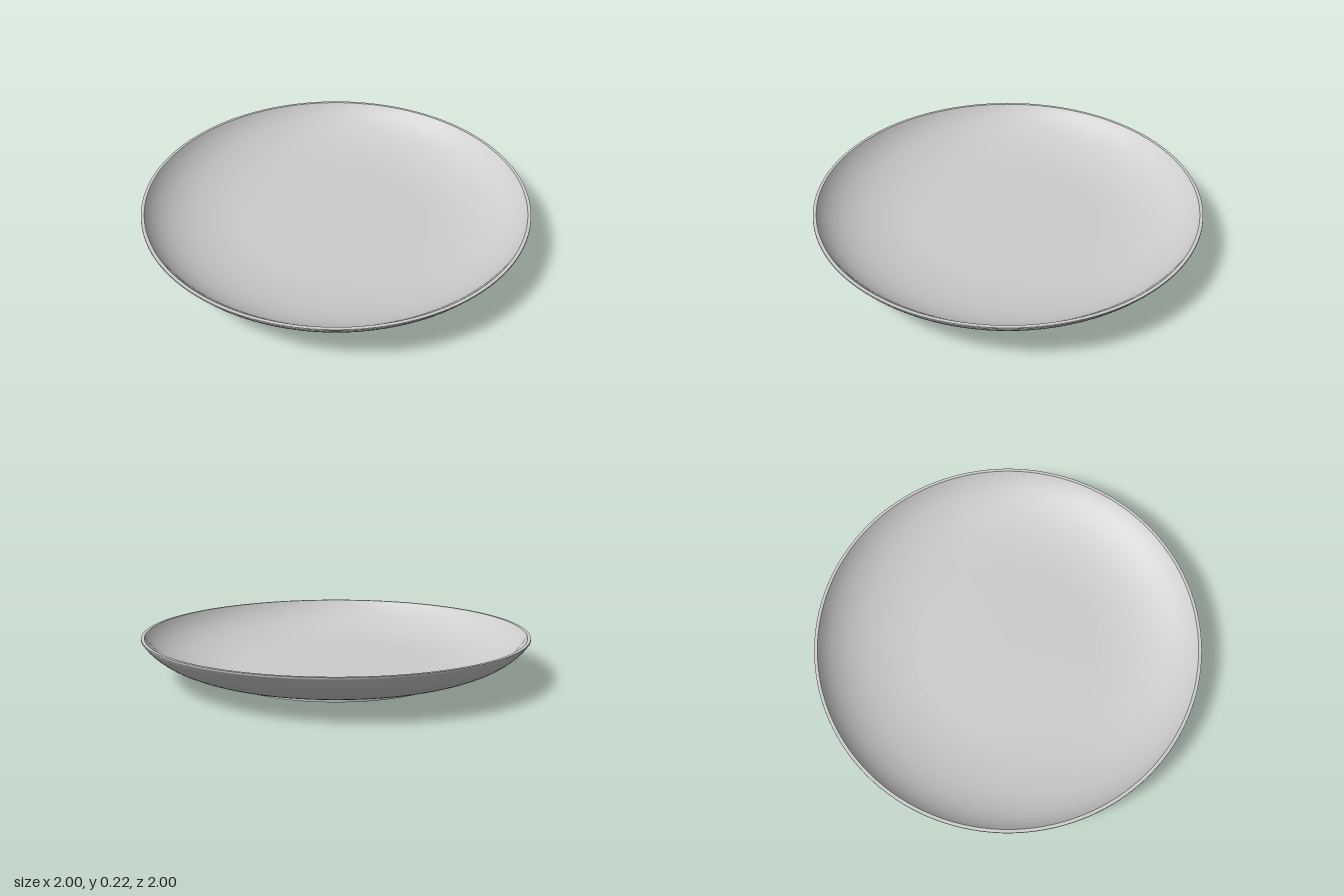
import * as THREE from 'three';

const SEGMENTS = 128;
const v = (x, y) => new THREE.Vector2(x, y);

// Samples a curved stretch of the profile
const arc = (a, control, b, n) => new THREE.QuadraticBezierCurve(a, control, b).getPoints(n);

export function createModel() {
  const plate = new THREE.Group();
  plate.name = 'plate';
  const ceramic = new THREE.MeshStandardMaterial({ color: 0xcccccc });
  ceramic.name = 'light grey ceramic';

  // Each stretch is its own lathe, so edges between stretches stay sharp
  const turn = (name, points) => {
    const mesh = new THREE.Mesh(new THREE.LatheGeometry(points, SEGMENTS), ceramic);
    mesh.name = name;
    plate.add(mesh);
  };

  const foot = 0.615, footTop = 0.025, recess = 0.415;

  // Underside: shallow recess with a curved wall, then the flat foot
  turn('footRecess', [v(0, 0.02), v(0.33, 0.02), ...arc(v(0.36, 0.02), v(0.405, 0.019), v(recess, 0), 8)]);
  turn('footBase', [v(recess, 0), v(foot, 0)]);
  turn('footSide', [v(foot, 0), v(foot, footTop)]);

  // Outer wall flaring up to the rim
  turn('outerWall', arc(v(foot, footTop), v(0.9, 0.06), v(0.997, 0.207), 24));

  // Thin rim: upright lip and flat top
  turn('rimEdge', [v(0.997, 0.207), v(1, 0.211), v(0.999, 0.217)]);
  turn('rimTop', [v(0.999, 0.217), v(0.983, 0.217)]);

  // Inner wall sweeping down to the flat floor
  turn('innerWall', arc(v(0.983, 0.217), v(0.87, 0.06), v(0.5, 0.05), 24));
  turn('floor', [v(0.5, 0.05), v(0, 0.05)]);

  return plate;
}
